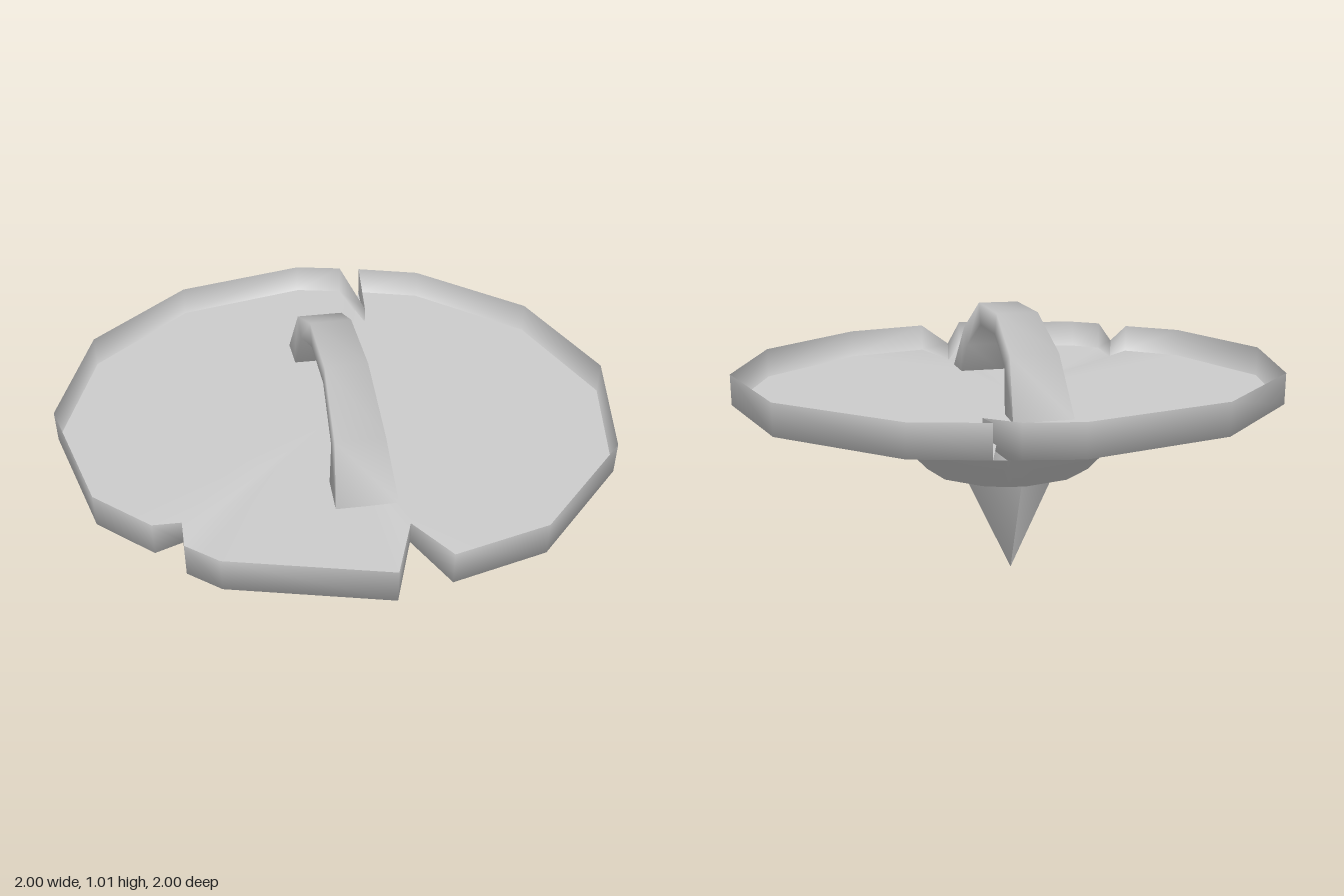
import * as THREE from 'three';
import { toCreasedNormals } from 'three/addons/utils/BufferGeometryUtils.js';

// Skin a grid of sections: columns[i][j] is a point, columns wrap around
function loft(columns) {
  const n = columns.length, m = columns[0].length, idx = [];
  for (let i = 0; i < n; i++) {
    for (let j = 0; j < m - 1; j++) {
      const a = i * m + j, b = ((i + 1) % n) * m + j;
      idx.push(a, b, a + 1, b + 1, a + 1, b);
    }
  }
  const g = new THREE.BufferGeometry();
  g.setAttribute('position', new THREE.Float32BufferAttribute(columns.flat(2), 3));
  g.setIndex(idx);
  return toCreasedNormals(g, THREE.MathUtils.degToRad(100));
}

// Rim outline [x, z, isNotchTip], running from the front towards +x
const outline = [
  [0, 1], [0.1, 0.73, true], [0.18, 0.95], [0.5, 0.866], [0.866, 0.5], [1, 0],
  [0.866, -0.5], [0.5, -0.866], [0.26, -0.94], [0.235, -0.67, true], [0.18, -0.96],
  [0, -1], [-0.5, -0.866], [-0.866, -0.5], [-1, 0], [-0.866, 0.5],
  [-0.69, 0.67], [-0.6, 0.61, true], [-0.6, 0.78], [-0.5, 0.866],
];

// Columns through the outline; profile(ring, edge, isNotchTip) lists the points of one column
function outlineLoft(profile) {
  const n = outline.length;
  return loft(outline.map(([x, z, tip], i) => {
    // Inner rings below a notch tip sit midway between its two lips
    const [p, q] = [outline[(i + n - 1) % n], outline[(i + 1) % n]];
    const dir = new THREE.Vector2(tip ? p[0] + q[0] : x, tip ? p[1] + q[1] : z).normalize();
    const ring = (r, y) => [dir.x * r, y - 0.01 * dir.x * r, dir.y * r];
    const edge = y => [x, y - 0.01 * x, z];
    return profile(ring, edge, tip);
  }));
}

// Arched square-section grip: sections [z, y, thickness offset z, thickness offset y, half width]
function handleGeometry() {
  const sections = [
    [0.485, 0.685, 0.065, 0.02, 0.105],
    [0.385, 0.85, 0.035, 0.03, 0.085],
    [0.15, 0.97, 0.015, 0.04, 0.075],
    [-0.13, 0.97, -0.015, 0.04, 0.075],
    [-0.355, 0.88, -0.04, 0.025, 0.085],
    [-0.47, 0.68, -0.06, 0.02, 0.105],
  ];
  const cap = ([z, y]) => [z, y, 0, 0, 0];
  const rows = [cap(sections[0]), ...sections, cap(sections[5])];
  const corners = [[1, 1], [1, -1], [-1, -1], [-1, 1]];
  return loft(corners.map(([c, s]) =>
    rows.map(([z, y, nz, ny, w]) => [w * c, y + ny * s, z + nz * s])));
}

export function createModel() {
  const group = new THREE.Group();
  const material = new THREE.MeshStandardMaterial({ color: 0xcccccc, side: THREE.DoubleSide });
  const add = (name, geometry) => {
    const mesh = new THREE.Mesh(geometry, material);
    mesh.name = name;
    group.add(mesh);
    return mesh;
  };

  // Underside with a thin upright rim
  add('notchedDish', outlineLoft((ring, edge, tip) => [
    ring(0, 0.42), ring(0.31, 0.42), ring(0.43, 0.55),
    edge(tip ? 0.69 : 0.705), edge(tip ? 0.765 : 0.815),
  ]));

  // Nearly flat top, set down inside the rim
  add('topPlate', outlineLoft((ring, edge, tip) => [
    edge(tip ? 0.69 : 0.705), ring(0.43, 0.705), ring(0, 0.705),
  ]));

  add('handle', handleGeometry());

  // Four-sided spike pointing down
  const spike = add('spike', new THREE.ConeGeometry(0.205, 0.44, 4));
  spike.rotation.x = Math.PI;
  spike.position.set(-0.01, 0.22, 0);

  return group;
}
